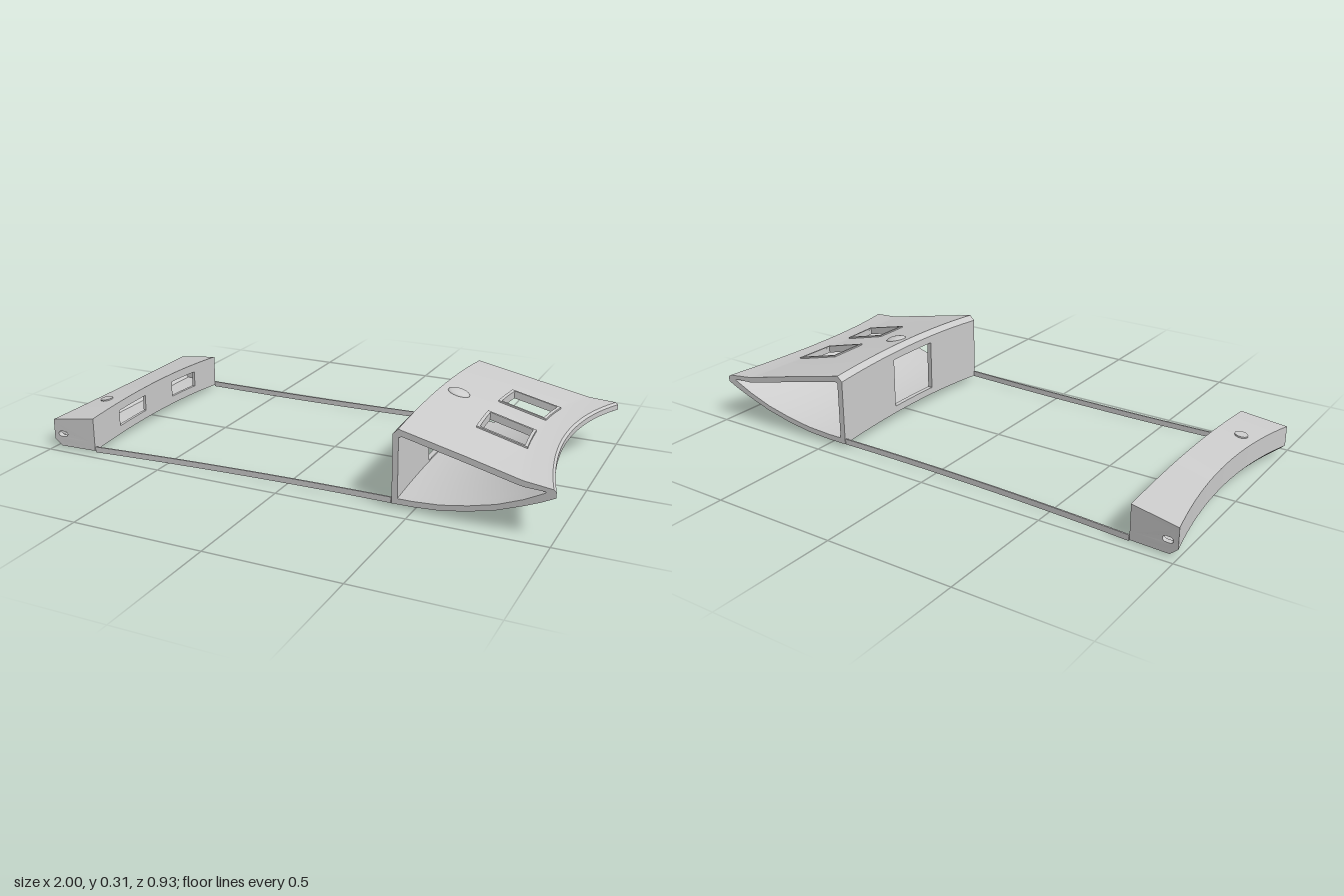
import * as THREE from 'three';
import { toCreasedNormals } from 'three/addons/utils/BufferGeometryUtils.js';

const material = new THREE.MeshStandardMaterial({ color: 0xcccccc, side: THREE.DoubleSide });

// half width of the body along its length
const half = x => 0.425 + 0.04 * x * x;

// bends a straight sweep (t = -1..1 across the width): domed in y, concave at both ends
function warp(x, y, t) {
  const k = 1 - t * t;
  let bow = 0;
  if (x > 0.42) bow = -0.08 * k * (x - 0.42) / 0.58;
  if (x < -0.82) bow = 0.045 * k * (-0.82 - x) / 0.18;
  return [x + bow, y - 0.022 * t * t, t * half(x)];
}

function addMesh(parent, name, geometry) {
  const mesh = new THREE.Mesh(geometry, material);
  mesh.name = name;
  parent.add(mesh);
  return mesh;
}

// Thick shell swept across the width. pts: clockwise [outerX, outerY, innerX, innerY];
// cells for which isHole(i, t) is true are left open and get reveal faces.
function shell(pts, ts, closed, isHole) {
  const n = closed ? pts.length : pts.length - 1, m = ts.length - 1, pos = [];
  const O = (i, j) => { const p = pts[i % pts.length]; return warp(p[0], p[1], ts[j]); };
  const I = (i, j) => { const p = pts[i % pts.length]; return warp(p[2], p[3], ts[j]); };
  const quad = (a, b, c, d) => pos.push(...a, ...b, ...c, ...a, ...c, ...d);
  const solid = (i, j) => {
    if (closed) i = (i + n) % n;
    if (i < 0 || i >= n || j < 0 || j >= m) return false;
    return !isHole(i, (ts[j] + ts[j + 1]) / 2);
  };
  for (let i = 0; i < n; i++) for (let j = 0; j < m; j++) {
    if (!solid(i, j)) continue;
    const a = O(i, j), b = O(i + 1, j), c = O(i + 1, j + 1), d = O(i, j + 1);
    const e = I(i, j), f = I(i + 1, j), g = I(i + 1, j + 1), h = I(i, j + 1);
    quad(a, d, c, b);
    quad(e, f, g, h);
    if (!solid(i, j - 1)) quad(a, b, f, e);
    if (!solid(i, j + 1)) quad(d, h, g, c);
    if (!solid(i - 1, j)) quad(a, e, h, d);
    if (!solid(i + 1, j)) quad(b, c, g, f);
  }
  const geo = new THREE.BufferGeometry();
  geo.setAttribute('position', new THREE.Float32BufferAttribute(pos, 3));
  return toCreasedNormals(geo, 0.4);
}

// symmetric breaks across the width: even steps plus the edges of the openings
function breaks(edges) {
  const s = new Set(edges.flatMap(e => [e, -e]));
  for (let i = -10; i <= 10; i++) {
    if (!edges.some(e => Math.abs(e - Math.abs(i / 10)) < 0.03)) s.add(i / 10);
  }
  return [...s].sort((a, b) => a - b);
}
const between = (t, a, b) => Math.abs(t) > a && Math.abs(t) < b;

export function createModel() {
  const model = new THREE.Group();

  // Wedge-shaped hollow housing: wall, sloping top, lip, curved underside
  const housing = new THREE.Group();
  housing.name = 'wedgeHousing';
  model.add(housing);
  const wedge = [
    [0.42, 0.042, 0.442, 0.064], [0.42, 0.07, 0.442, 0.07],
    [0.42, 0.27, 0.442, 0.27], [0.42, 0.30, 0.442, 0.29],
    [0.44, 0.32, 0.455, 0.294], [0.685, 0.267, 0.685, 0.244],
    [0.87, 0.226, 0.87, 0.204], [0.89, 0.222, 0.89, 0.201],
    [0.99, 0.213, 0.96, 0.2], [1, 0.205, 0.965, 0.199], [1, 0.185, 0.965, 0.196],
    [0.95, 0.159, 0.93, 0.177], [0.9, 0.137, 0.89, 0.156], [0.8, 0.098, 0.8, 0.119],
    [0.7, 0.071, 0.7, 0.092], [0.6, 0.052, 0.6, 0.073], [0.5, 0.044, 0.5, 0.065],
  ];
  addMesh(housing, 'wedgeShell', shell(wedge, breaks([0.157, 0.28, 0.47]), true,
    (i, t) => (i === 1 && Math.abs(t) < 0.28) || (i === 5 && between(t, 0.157, 0.47))));

  // Raised frames around the two top windows
  const slope = x => 0.32 - 0.2178 * (x - 0.44);
  const rim = [0.672, 0.685, 0.87, 0.882].map(x => [x, slope(x) + 0.006, x, slope(x) - 0.002]);
  for (const side of [1, -1]) {
    const ts = [0.137, 0.157, 0.26, 0.37, 0.47, 0.49].map(t => t * side).sort((a, b) => a - b);
    addMesh(housing, side > 0 ? 'leftWindowFrame' : 'rightWindowFrame',
      shell(rim, ts, false, (i, t) => i === 1 && between(t, 0.157, 0.47)));
  }

  // Small hood on the sloping top
  const hood = addMesh(housing, 'topHood', new THREE.SphereGeometry(1, 24, 12, 0, Math.PI * 2, 0, Math.PI / 2));
  hood.scale.set(0.042, 0.012, 0.036);
  hood.position.set(0.505, 0.304, 0);
  hood.rotation.z = -0.24;

  // Hollow end block with two windows on its inner face
  const block = new THREE.Group();
  block.name = 'endBlock';
  model.add(block);
  const bar = [
    [-1, 0.06, -0.985, 0.068], [-1, 0.14, -0.985, 0.127],
    [-0.82, 0.165, -0.835, 0.148], [-0.82, 0.13, -0.835, 0.13],
    [-0.82, 0.065, -0.835, 0.065], [-0.82, 0.032, -0.835, 0.048],
    [-0.97, 0.034, -0.962, 0.05],
  ];
  addMesh(block, 'blockShell', shell(bar, breaks([0.22, 0.62]), true,
    (i, t) => i === 3 && between(t, 0.22, 0.62)));

  // End caps with a rounded slot
  const capShape = new THREE.Shape(bar.map(p => new THREE.Vector2(p[2], p[3])));
  const slot = new THREE.Path();
  slot.absarc(-0.952, 0.084, 0.011, -Math.PI / 2, Math.PI / 2, false);
  slot.absarc(-0.97, 0.084, 0.011, Math.PI / 2, Math.PI * 1.5, false);
  capShape.holes.push(slot);
  for (const side of [1, -1]) {
    const geo = new THREE.ExtrudeGeometry(capShape, { depth: 0.04, bevelEnabled: false, curveSegments: 8 });
    const p = geo.attributes.position;
    for (let i = 0; i < p.count; i++) {
      const t = side > 0 ? 0.96 + p.getZ(i) : -1 + p.getZ(i);
      p.setXYZ(i, ...warp(p.getX(i), p.getY(i), t));
    }
    geo.computeVertexNormals();
    addMesh(block, side > 0 ? 'leftEndCap' : 'rightEndCap', geo);
  }

  // Round button on top of the block
  const button = addMesh(block, 'roundButton', new THREE.CylinderGeometry(0.025, 0.025, 0.006, 32));
  button.position.set(-0.908, 0.146, 0.24);
  button.rotation.set(0.05, 0, 0.15);

  // Thin side rails joining the two ends
  for (const side of [1, -1]) {
    const geo = new THREE.BoxGeometry(1.235, 0.022, 0.006, 32, 1, 1);
    const p = geo.attributes.position;
    for (let i = 0; i < p.count; i++) {
      const x = p.getX(i) - 0.2;
      p.setXYZ(i, x, p.getY(i) + 0.016 + 0.0125 * (x + 0.82),
        p.getZ(i) + side * (half(x) - 0.003));
    }
    geo.computeVertexNormals();
    addMesh(model, side > 0 ? 'leftRail' : 'rightRail', geo);
  }

  return model;
}
